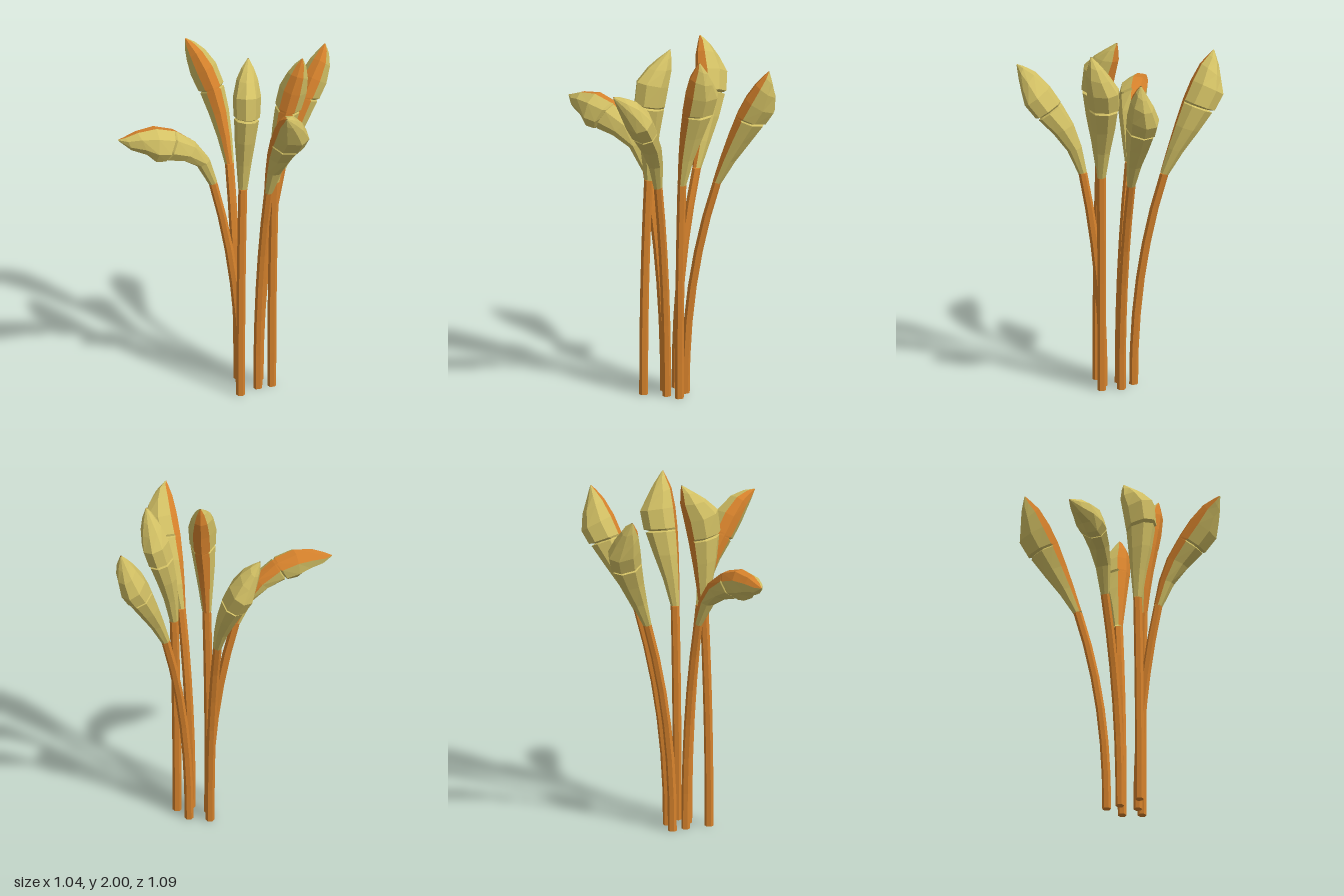
import * as THREE from 'three';

const orange = new THREE.MeshStandardMaterial({ color: 0xd6822c, flatShading: true, side: THREE.DoubleSide });
const olive = new THREE.MeshStandardMaterial({ color: 0xd2c064, flatShading: true, side: THREE.DoubleSide });

// Each stalk: foot (x, z), spine of the flower from stem top to tip, and the way its orange face looks
const STALKS = [
  { foot: [0.015, 0.08], face: [-0.35, 0.8, -0.35],
    spine: [[-0.12, 1.25, 0.14], [-0.18, 1.45, 0.19], [-0.28, 1.59, 0.3], [-0.39, 1.64, 0.42], [-0.51, 1.59, 0.56]] },
  { foot: [-0.035, 0.01], face: [0.5, 0.35, 0.75],
    spine: [[-0.14, 1.25, -0.1], [-0.2, 1.48, -0.13], [-0.28, 1.7, -0.145], [-0.37, 1.85, -0.15], [-0.455, 1.93, -0.17]] },
  { foot: [0.078, -0.03], face: [0.35, 0.55, 0.75],
    spine: [[0.14, 1.25, -0.18], [0.19, 1.5, -0.25], [0.24, 1.72, -0.33], [0.27, 1.86, -0.42], [0.265, 1.92, -0.48]] },
  { foot: [0.18, 0.015], face: [0.35, 0.1, 0.9],
    spine: [[0.2, 1.25, 0.025], [0.23, 1.5, 0.02], [0.28, 1.75, 0], [0.315, 1.9, -0.03], [0.325, 2, -0.08]] },
  { foot: [0.08, 0.205], face: [-0.4, 0.1, -0.9],
    spine: [[0.07, 1.25, 0.155], [0.065, 1.5, 0.12], [0.06, 1.75, 0.075], [0.045, 1.9, 0.045], [0.05, 2, 0.05]] },
  { foot: [0.125, 0.08], face: [-0.7, 0.45, 0.45],
    spine: [[0.2, 1.25, 0.15], [0.24, 1.48, 0.2], [0.31, 1.66, 0.28], [0.4, 1.81, 0.36], [0.475, 1.86, 0.42]] },
];

// Cross-section across (half widths) and deep (depths); the first three points are the orange face
const SECTION = [[-0.6, 0.12], [0, 0], [0.6, 0.12], [1, 0.45], [0.7, 0.85], [0, 1], [-0.7, 0.85], [-1, 0.45]];

// Stations along the spine: position, half width, depth
const SHEATH = [[0, 0.026, 0.05], [0.2, 0.042, 0.095], [0.38, 0.058, 0.145], [0.55, 0.07, 0.185], [0.56, 0.058, 0.16]];
const BUD = [[0.56, 0.058, 0.16], [0.575, 0.075, 0.195], [0.72, 0.079, 0.205], [0.86, 0.06, 0.15], [0.95, 0.034, 0.085], [1, 0.004, 0.008]];

// Ring of points around the spine at one station
function ring(curve, face, [t, w, d]) {
  const p = curve.getPointAt(t), T = curve.getTangentAt(t);
  const v = face.clone().negate().addScaledVector(T, face.dot(T)).normalize();
  const u = v.clone().cross(T);
  return SECTION.map(([a, b]) => p.clone().addScaledVector(u, a * w).addScaledVector(v, b * d));
}

// Skin between rings, over the section edges from..to
function skin(rings, from, to) {
  const pos = [];
  for (let i = 0; i < rings.length - 1; i++) {
    for (let j = from; j < to; j++) {
      const k = (j + 1) % SECTION.length;
      const a = rings[i][j], b = rings[i][k], c = rings[i + 1][k], d = rings[i + 1][j];
      for (const q of [a, b, c, a, c, d]) pos.push(q.x, q.y, q.z);
    }
  }
  const g = new THREE.BufferGeometry();
  g.setAttribute('position', new THREE.Float32BufferAttribute(pos, 3));
  g.computeVertexNormals();
  return g;
}

// Six-sided stem that rises upright, then leans to the flower
function stemGeometry(foot, top) {
  const g = new THREE.CylinderGeometry(0.025, 0.025, top.y, 6, 6);
  g.translate(0, top.y / 2, 0);
  const p = g.attributes.position;
  for (let i = 0; i < p.count; i++) {
    const y = Math.max(0, p.getY(i));
    const s = Math.pow(y / top.y, 2.2);
    p.setXYZ(i,
      p.getX(i) + THREE.MathUtils.lerp(foot[0], top.x, s),
      y,
      p.getZ(i) + THREE.MathUtils.lerp(foot[1], top.z, s));
  }
  g.computeVertexNormals();
  return g;
}

function part(name, geometry, material) {
  const m = new THREE.Mesh(geometry, material);
  m.name = name;
  return m;
}

function stalk({ foot, face, spine }) {
  const g = new THREE.Group();
  g.name = 'stalk';
  const curve = new THREE.CatmullRomCurve3(spine.map((p) => new THREE.Vector3(...p)));
  const n = new THREE.Vector3(...face).normalize();
  const sheath = SHEATH.map((s) => ring(curve, n, s));
  const bud = BUD.map((s) => ring(curve, n, s));
  // stem ends in the middle of the first ring
  const top = sheath[0][1].clone().add(sheath[0][5]).multiplyScalar(0.5);
  g.add(
    part('stem', stemGeometry(foot, top), orange),
    part('innerFace', skin([...sheath, ...bud.slice(1)], 0, 2), orange),
    part('sheath', skin(sheath, 2, 8), olive),
    part('bud', skin(bud, 2, 8), olive),
  );
  return g;
}

export function createModel() {
  const model = new THREE.Group();
  model.name = 'budBunch';
  for (const s of STALKS) model.add(stalk(s));
  return model;
}
